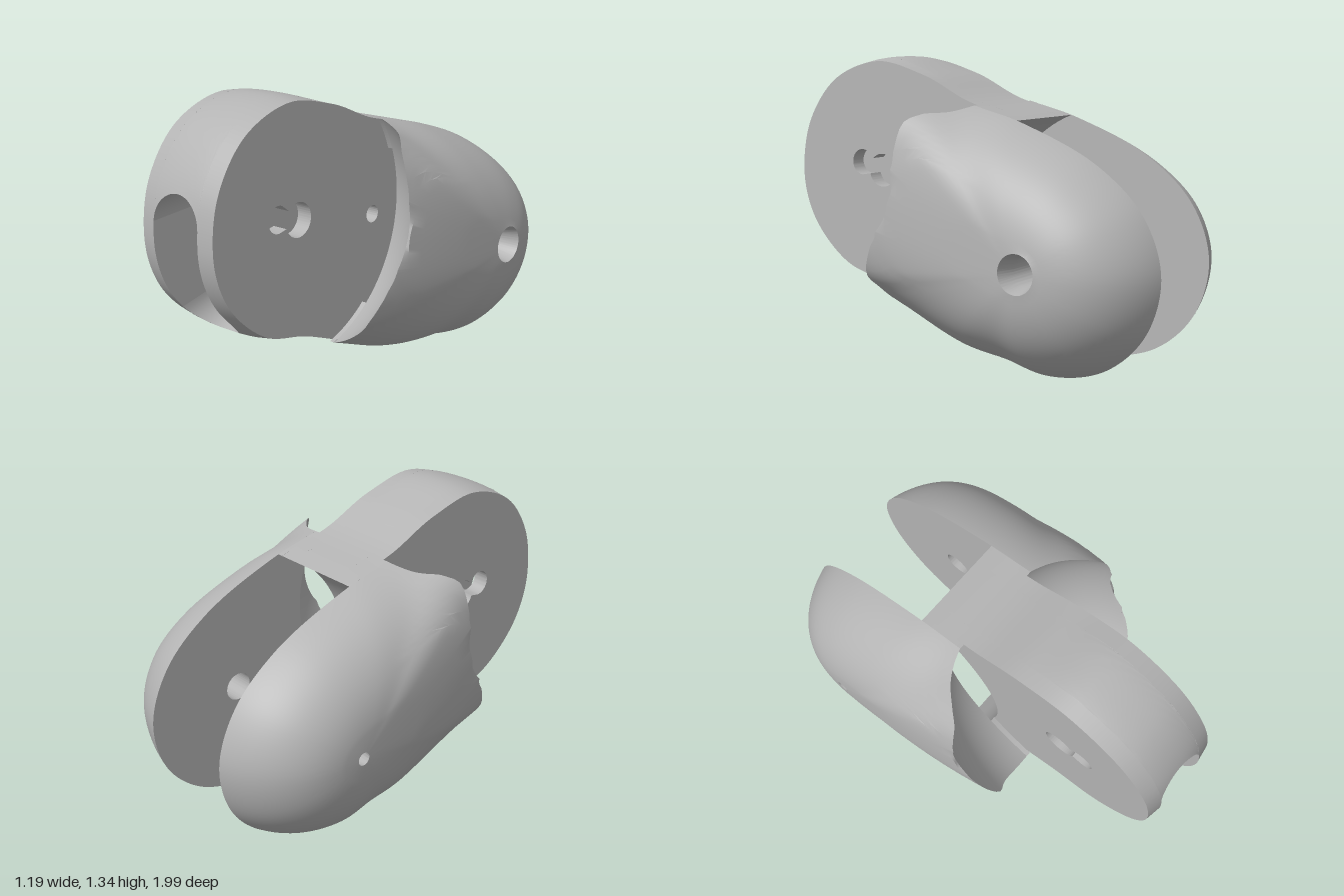
import * as THREE from 'three';
import { toCreasedNormals } from 'three/addons/utils/BufferGeometryUtils.js';

const TAU = Math.PI * 2, DEG = Math.PI / 180;
const PIN = { z: -0.52, y: 0.51 };   // hinge centre of the rear fork
const EYE = { z: 0.48, y: 0.81 };    // hinge centre of the front tongue
const CLEAR = 0.63, HALF = 0.592, POW = 2.35;
const TONGUE = 0.205, GAP = 0.228, SLOT = 0.13;   // half widths

// side outline as [z, y]
const outline = new THREE.CatmullRomCurve3([
  [0.992, 0.8], [0.945, 1.03], [0.78, 1.24], [0.5, 1.335], [0.25, 1.27], [0, 1.16], [-0.3, 1.085],
  [-0.68, 0.93], [-0.9, 0.74], [-0.99, 0.5], [-0.93, 0.25], [-0.75, 0.07], [-0.5, 0], [-0.3, 0.035],
  [-0.05, 0.07], [0.3, 0.2], [0.48, 0.265], [0.7, 0.33], [0.88, 0.48], [0.965, 0.63],
].map(([z, y]) => new THREE.Vector3(z, y, 0)), true).getPoints(160);

// distance from c to the outline in direction a
function outlineHit(c, a) {
  const dz = Math.cos(a), dy = Math.sin(a);
  let best = 0;
  for (let i = 0; i < outline.length - 1; i++) {
    const p = outline[i], q = outline[i + 1];
    const ez = q.x - p.x, ey = q.y - p.y, wz = p.x - c.z, wy = p.y - c.y;
    const det = dz * ey - dy * ez;
    if (Math.abs(det) < 1e-9) continue;
    const t = (wz * ey - wy * ez) / det, u = (wz * dy - wy * dz) / det;
    if (u >= -1e-6 && u <= 1 + 1e-6 && t > best) best = t;
  }
  return best;
}

// distance from c to a circle: near side (-1) or far side (+1); Infinity on a miss
function circleHit(c, a, o, r, side) {
  const wz = o.z - c.z, wy = o.y - c.y;
  const along = wz * Math.cos(a) + wy * Math.sin(a);
  const d = r * r - (wz * wz + wy * wy - along * along);
  return d < 0 || along < 0 ? Infinity : along + side * Math.sqrt(d);
}

const widthScale = x => (1 - (Math.abs(x) / HALF) ** POW) ** (1 / POW);
const at = (c, a, r, x) => [x, c.y + Math.sin(a) * r, c.z + Math.cos(a) * r];
const direction = (c, o) => Math.atan2(o.y - c.y, o.z - c.z);

// angle from the line of centres to where the cut leaves the outer edge
function cutOffset(c, o, k, radius, sign) {
  const dir = direction(c, o);
  let lo = 0, hi = Math.PI / 2;
  for (let i = 0; i < 26; i++) {
    const m = (lo + hi) / 2, a = dir + sign * m;
    if (circleHit(c, a, o, CLEAR * k, -1) < radius(a)) lo = m; else hi = m;
  }
  return Math.max(lo, 12 * DEG);
}

// closed profile as [angle, radius], with samples exactly on both rims of the cut
function cutProfile(c, o, k, radius) {
  const dir = direction(c, o), list = [];
  const a0 = dir - cutOffset(c, o, k, radius, -1), a1 = dir + cutOffset(c, o, k, radius, 1);
  for (let i = 0; i <= 48; i++) {
    const a = (a0 + a1) / 2 - (a1 - a0) / 2 * Math.cos(i / 48 * Math.PI);
    list.push([a, Math.min(radius(a), circleHit(c, a, o, CLEAR * k, -1))]);
  }
  for (let i = 0; i <= 140; i++) {
    const a = a1 + (a0 + TAU - a1) * i / 140;
    list.push([a, radius(a)]);
  }
  return list;
}

// joins closed rings of equal length into a skin
function skin(rings, flip) {
  const pos = [], n = rings[0].length;
  for (let i = 0; i < rings.length - 1; i++) for (let j = 0; j < n; j++) {
    const k = (j + 1) % n;
    const a = rings[i][j], b = rings[i + 1][j], c = rings[i][k], d = rings[i + 1][k];
    for (const t of [[a, b, c], [b, d, c]]) {
      if (flip) t.reverse();
      pos.push(...t.flat());
    }
  }
  const g = new THREE.BufferGeometry();
  g.setAttribute('position', new THREE.Float32BufferAttribute(pos, 3));
  return toCreasedNormals(g, 0.6);
}

// domed prong with a pin hole and a hollow for the neighbouring joint
function prongGeometry(sign, innerHole, outerHole) {
  const s0 = widthScale(GAP), n = 24, rings = [];
  const hole = (profile, x, r) => rings.push(profile.map(([a]) => at(PIN, a, r, sign * x)));
  let profile;
  for (let i = 0; i <= n; i++) {
    const s = 0.2 + (s0 - 0.2) * Math.cos(i / n * Math.PI / 2);
    const x = i === 0 ? GAP : HALF * (1 - s ** POW) ** (1 / POW);
    const k = s / s0;
    profile = cutProfile(PIN, EYE, k, a => Math.max(outerHole, outlineHit(PIN, a) * k));
    if (i === 0) hole(profile, GAP, innerHole);
    rings.push(profile.map(([a, r]) => at(PIN, a, r, sign * x)));
  }
  hole(profile, HALF * 0.996, outerHole);
  hole(profile, HALF * 0.85, innerHole);
  hole(profile, GAP, innerHole);
  return skin(rings, sign < 0);
}

// tongue edge around its hinge, gently crowned towards the front
function crown(a, x) {
  const w = THREE.MathUtils.smoothstep(Math.cos(a), -0.7, 0);
  return outlineHit(EYE, a) * (1 + (widthScale(x) - 1) * w);
}
const tongueRadius = (a, x) => Math.min(crown(a, x), circleHit(EYE, a, PIN, CLEAR, -1));

// keyhole made of two overlapping bores
function keyhole(a) {
  const second = circleHit(EYE, a, { z: 0.6, y: 0.84 }, 0.06, 1);
  return second === Infinity ? 0.077 : Math.max(0.077, second);
}

function wallGeometry(x0, x1) {
  const profile = x => cutProfile(EYE, PIN, 1, a => crown(a, x));
  const edge = x => profile(x).map(([a, r]) => at(EYE, a, r, x));
  const hole = x => profile(x).map(([a]) => at(EYE, a, keyhole(a), x));
  return skin([hole(x0), edge(x0), edge(x1), hole(x1), hole(x0)]);
}

// angle between lo and hi where the tongue edge is at height y
function angleAt(y, x, lo, hi) {
  const height = a => EYE.y + Math.sin(a) * tongueRadius(a, x);
  const rising = height(hi) > height(lo);
  for (let i = 0; i < 24; i++) {
    const m = (lo + hi) / 2;
    if ((height(m) < y) === rising) lo = m; else hi = m;
  }
  return (lo + hi) / 2;
}

// parts of the tongue above (1) and below (-1) the round-ended slot
function slotGeometry(side) {
  const rings = [], n = 20, dir = direction(EYE, PIN) + TAU;
  for (let i = 0; i <= n; i++) {
    const x = -SLOT * Math.cos(i / n * Math.PI), d = side * SLOT * Math.sin(i / n * Math.PI);
    const edge = a => crown(a, x);
    const front = angleAt((side > 0 ? 0.87 : 0.46) + d, x, -90 * DEG, 90 * DEG);
    const back = angleAt((side > 0 ? 0.7 : 0.62) + d, x, 120 * DEG, 240 * DEG);
    const corner = dir - side * cutOffset(EYE, PIN, 1, edge, -side);
    const frontAngle = side > 0 ? front : front + TAU;
    const loop = [];
    for (let j = 0; j <= 50; j++) {
      const a = frontAngle + (corner - frontAngle) * j / 50;
      loop.push(at(EYE, a, edge(a), x));
    }
    for (let j = 0; j <= 24; j++) {
      const a = corner + (back - corner) * (1 - Math.cos(j / 24 * Math.PI / 2));
      loop.push(at(EYE, a, tongueRadius(a, x), x));
    }
    loop.push([x, (side > 0 ? 0.9 : 0.55) + d, 0.42]);   // bend of the slot
    rings.push(loop);
  }
  return skin(rings, side < 0);
}

// narrow web between the fork gap and the front hollow
function webGeometry(side, x) {
  const toEye = direction(PIN, EYE), toPin = direction(EYE, PIN) + TAU;
  const meet = Math.acos(Math.hypot(EYE.z - PIN.z, EYE.y - PIN.y) / 2 / CLEAR);
  const hollowAngle = toEye + side * cutOffset(PIN, EYE, 1, a => outlineHit(PIN, a), side);
  const gapAngle = toPin - side * cutOffset(EYE, PIN, 1, a => outlineHit(EYE, a), -side);
  const [, hy, hz] = at(PIN, hollowAngle, outlineHit(PIN, hollowAngle), 0);
  const [, gy, gz] = at(EYE, gapAngle, outlineHit(EYE, gapAngle), 0);
  const pts = [];
  const arc = (c, a0, a1) => {
    for (let i = 0; i <= 12; i++) {
      const p = at(c, a0 + (a1 - a0) * i / 12, CLEAR, 0);
      pts.push(new THREE.Vector2(p[2], p[1]));
    }
  };
  arc(PIN, Math.atan2(gy - PIN.y, gz - PIN.z), toEye + side * meet);
  const end = Math.atan2(hy - EYE.y, hz - EYE.z);
  arc(EYE, toPin - side * meet, end < 0 ? end + TAU : end);
  pts.push(...outline.filter(p => p.x > gz && p.x < hz && side * (p.y - 0.6) > 0)
    .sort((p, q) => q.x - p.x).map(p => new THREE.Vector2(p.x, p.y)));
  const g = new THREE.ExtrudeGeometry(new THREE.Shape(pts), { depth: GAP - TONGUE, bevelEnabled: false });
  return g.rotateY(-Math.PI / 2).translate(x, 0, 0);
}

export function createModel() {
  const group = new THREE.Group(), joint = new THREE.Group();
  const grey = new THREE.MeshStandardMaterial({ color: 0xb4b4b4, side: THREE.DoubleSide });
  grey.name = 'grey plastic';
  const add = (name, geometry) => {
    const mesh = new THREE.Mesh(geometry.translate(0, -0.7, 0), grey);
    mesh.name = name;
    joint.add(mesh);
  };

  // rear fork
  add('leftProng', prongGeometry(1, 0.065, 0.085));
  add('rightProng', prongGeometry(-1, 0.045, 0.03));
  for (const [name, x] of [['left', GAP], ['right', -TONGUE]]) {
    add(name + 'UpperWeb', webGeometry(1, x));
    add(name + 'LowerWeb', webGeometry(-1, x));
  }

  // front tongue around the slot
  add('rightTongueWall', wallGeometry(-TONGUE, -SLOT));
  add('leftTongueWall', wallGeometry(SLOT, TONGUE));
  add('upperTongue', slotGeometry(1));
  add('lowerTongue', slotGeometry(-1));

  // the joint sits slightly rolled and turned
  joint.name = 'fingerJoint';
  joint.position.y = 0.708;
  joint.rotation.set(0, 0.045, 0.035);
  group.add(joint);
  return group;
}
